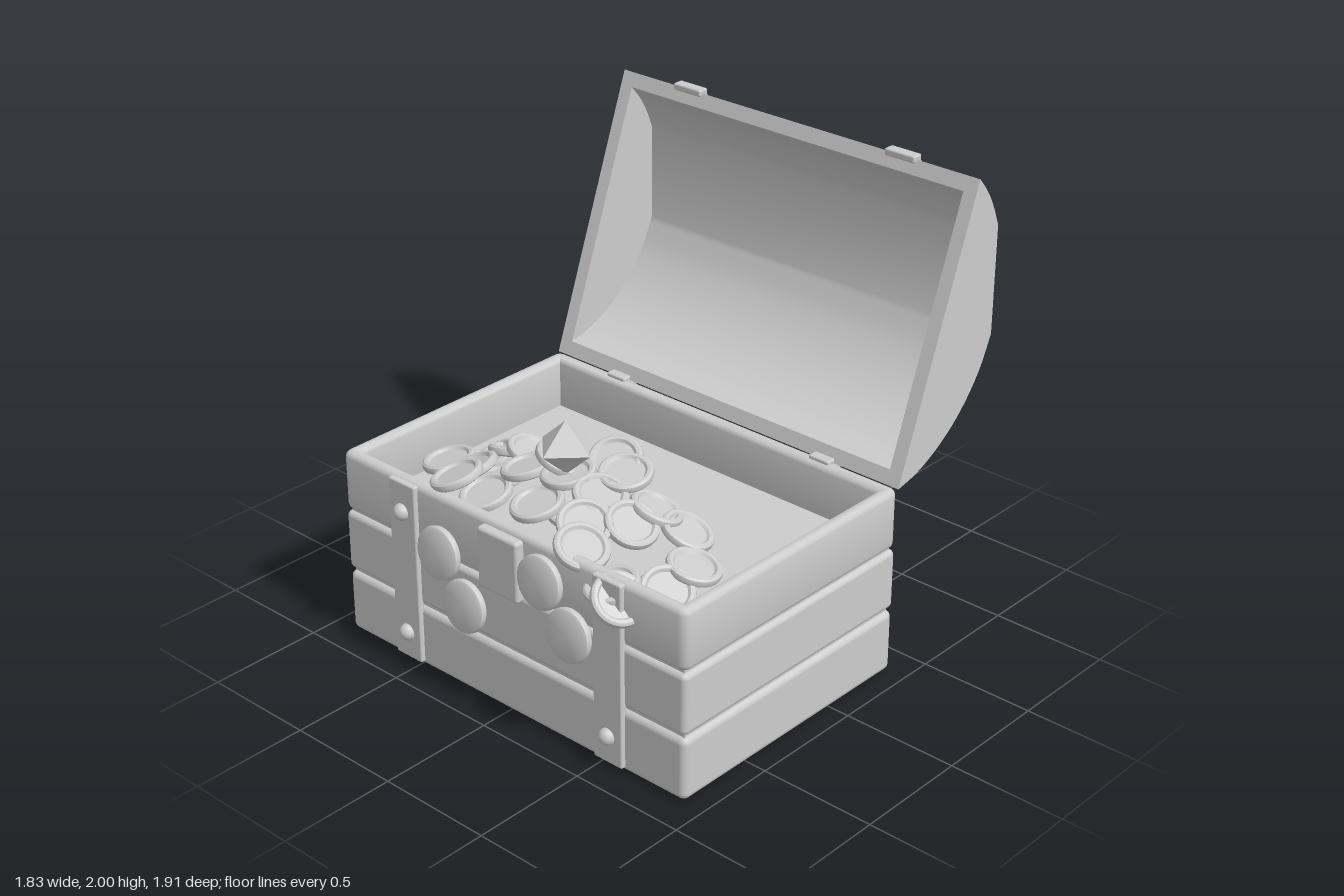
import * as THREE from 'three';
import { toCreasedNormals } from 'three/addons/utils/BufferGeometryUtils.js';
import { RoundedBoxGeometry } from 'three/addons/geometries/RoundedBoxGeometry.js';

export function createModel() {
  const model = new THREE.Group();
  const grey = new THREE.MeshStandardMaterial({ color: 0xcccccc });
  grey.name = 'plain grey';

  function add(name, geometry, x = 0, y = 0, z = 0) {
    const mesh = new THREE.Mesh(geometry, grey);
    mesh.name = name;
    mesh.position.set(x, y, z);
    model.add(mesh);
    return mesh;
  }
  const block = (name, w, h, d, x, y, z, r = 0.008) =>
    add(name, new RoundedBoxGeometry(w, h, d, 3, r), x, y, z);

  const midZ = 0.24, strapX = [-0.55, 0.545];

  // Chest body: two solid plank courses, a hollow top course and the inner floor
  block('bottomPlanks', 1.83, 0.275, 1.24, 0, 0.1375, midZ, 0.03);
  block('middlePlanks', 1.83, 0.265, 1.24, 0, 0.42, midZ, 0.025);
  add('innerFloor', new THREE.BoxGeometry(1.79, 0.55, 1.2), 0, 0.325, midZ);

  function roundedRect(path, w, d, r) {
    path.moveTo(-w + r, -d);
    path.lineTo(w - r, -d).quadraticCurveTo(w, -d, w, -d + r);
    path.lineTo(w, d - r).quadraticCurveTo(w, d, w - r, d);
    path.lineTo(-w + r, d).quadraticCurveTo(-w, d, -w, d - r);
    path.lineTo(-w, -d + r).quadraticCurveTo(-w, -d, -w + r, -d);
    return path;
  }
  const frame = roundedRect(new THREE.Shape(), 0.89, 0.595, 0.015);
  frame.holes.push(roundedRect(new THREE.Path(), 0.88, 0.585, 0.01));
  const course = new THREE.ExtrudeGeometry(frame, {
    depth: 0.21, bevelSize: 0.025, bevelThickness: 0.025, bevelSegments: 3, curveSegments: 4,
  });
  course.rotateX(-Math.PI / 2);
  add('topPlanks', toCreasedNormals(course, 0.7), 0, 0.588, midZ);

  // Iron straps and rivets on front and back
  const rivet = new THREE.SphereGeometry(0.036, 16, 12);
  for (const x of strapX) {
    for (const [side, z] of [['front', 0.865], ['back', -0.383]]) {
      block(side + 'Strap', 0.145, 0.8, 0.03, x, 0.42, z);
      for (const y of [0.14, 0.69]) add(side + 'Rivet', rivet, x, y, z + Math.sign(z) * 0.015);
    }
    block('hinge', 0.1, 0.03, 0.07, x, 0.822, -0.375);
  }
  block('lockPlate', 0.215, 0.265, 0.05, -0.005, 0.67, 0.875, 0.015);

  // Open lid: side profile as (-z, y), flat along the back
  const v = (a, b) => new THREE.Vector2(a, b);
  const lower = new THREE.SplineCurve([
    v(0.375, 0.82), v(0.5, 0.85), v(0.64, 0.92), v(0.765, 1.02), v(0.87, 1.15), v(0.938, 1.29)]);
  const upper = new THREE.SplineCurve([v(0.938, 1.75), v(0.9, 1.84), v(0.855, 1.915), v(0.8, 1.98)]);
  const arc = [...lower.getPoints(20), ...upper.getPoints(8)];
  const centre = v(0.5875, 1.4);
  const scaled = s => arc.map(p => p.clone().sub(centre).multiplyScalar(s).add(centre));
  function across(points, width) {
    const g = new THREE.ExtrudeGeometry(new THREE.Shape(points), { depth: width, bevelEnabled: false });
    g.translate(0, 0, -width / 2).rotateY(Math.PI / 2);
    return toCreasedNormals(g, 0.5);
  }
  const band = (a, b, width) => across([...a, ...[...b].reverse()], width);
  add('lidShell', band(arc, scaled(0.9), 1.83));
  for (const s of [-1, 1]) add('lidEnd', across(arc, 0.06), s * 0.885);
  for (const x of strapX) {
    add('lidStrap', band(scaled(1.026), scaled(0.98), 0.145), x);
    block('lidStrapTip', 0.145, 0.03, 0.05, x, 1.982, -0.805);
  }

  // Coin with a raised rim and a sunken upper face
  const coin = toCreasedNormals(new THREE.LatheGeometry([
    v(0, -0.018), v(0.098, -0.018), v(0.108, -0.012), v(0.111, 0), v(0.108, 0.013),
    v(0.099, 0.019), v(0.086, 0.018), v(0.077, 0.007), v(0, 0.007)], 32), 0.6);

  // Heap of coins: x, y, z, tilt about x, tilt about z
  const heap = [
    [-0.64, 0.70, 0.38, -0.2, 0.3], [-0.67, 0.73, 0.51, 0.1, 0.2], [-0.50, 0.77, 0.42, 0.3, 0.4],
    [-0.44, 0.80, 0.36, -0.3, 0.2], [-0.32, 0.84, 0.38, -0.2, -0.3], [-0.42, 0.83, 0.62, 0.2, 0.4],
    [-0.39, 0.85, 0.73, 0.2, 0.3], [-0.21, 0.87, 0.52, 0.1, 0.25], [-0.27, 0.80, 0.69, 0.3, 0.1],
    [-0.35, 0.78, 0.55, 0, 0.2], [-0.08, 0.88, 0.34, -0.3, 0.2], [0.08, 0.93, 0.33, 0.45, -0.2],
    [0.17, 0.92, 0.37, 0.2, -0.1], [0.00, 0.85, 0.68, 0.25, 0.1], [0.18, 0.89, 0.52, 0.1, -0.3],
    [0.00, 0.91, 0.51, 0.1, 0.1], [-0.08, 0.93, 0.46, -0.2, -0.35], [0.10, 0.84, 0.59, 0.3, -0.2],
    [0.35, 0.83, 0.53, 0.1, -0.5], [0.34, 0.83, 0.38, -0.3, -0.3], [0.47, 0.77, 0.35, -0.2, -0.4],
    [0.24, 0.85, 0.67, 0.3, -0.4], [0.62, 0.73, 0.48, -0.1, -0.25], [0.63, 0.70, 0.64, 0.3, -0.5],
    [0.33, 0.83, 0.78, 0.15, -0.45], [0.51, 0.75, 0.81, 0.25, 0.1], [0.58, 0.74, 0.85, 0.3, -0.7],
  ];
  for (const [x, y, z, tx, tz] of heap) add('heapCoin', coin, x, y, z).rotation.set(tx, 0, tz);

  // Coins resting against the front, plain face outward
  for (const [x, y, z] of [[-0.325, 0.60, 0.9], [-0.185, 0.42, 0.905], [0.225, 0.69, 0.9], [0.36, 0.51, 0.89]])
    add('frontCoin', coin, x, y, z).rotation.set(-Math.PI / 2 - 0.1, 0, 0);

  // Faceted gem on top of the heap
  const gem = new THREE.OctahedronGeometry(1, 0);
  gem.scale(0.125, 0.115, 0.125);
  add('gem', gem, 0, 1.03, 0.52);

  return model;
}
